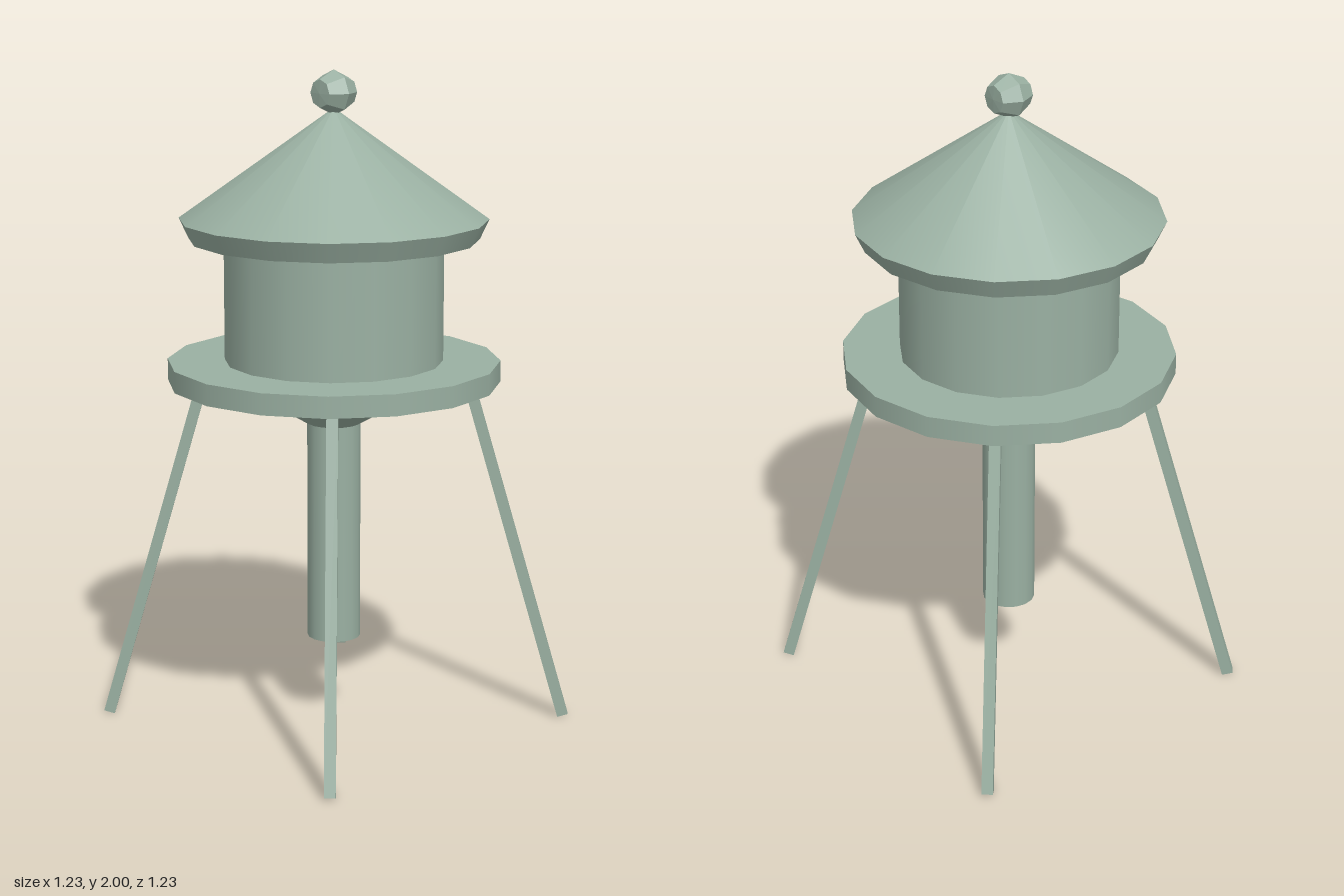
import * as THREE from 'three';

const SIDES = 16;
const material = new THREE.MeshStandardMaterial({ color: 0x9ab0a2, side: THREE.DoubleSide });
const flatMaterial = new THREE.MeshStandardMaterial({ color: 0x9ab0a2, flatShading: true });

export function createModel() {
  const model = new THREE.Group();
  model.name = 'waterTower';

  const body = new THREE.Group();
  body.name = 'body';
  body.position.set(-0.004, 0, -0.004);
  model.add(body);

  // Upright sixteen-sided drum or cone, with a flat side facing each axis
  function drum(name, rTop, rBottom, yBottom, yTop, open = false) {
    const geometry = new THREE.CylinderGeometry(
      rTop, rBottom, yTop - yBottom, SIDES, 1, open, Math.PI / SIDES, Math.PI * 2);
    const mesh = new THREE.Mesh(geometry, material);
    mesh.name = name;
    mesh.position.y = (yBottom + yTop) / 2;
    body.add(mesh);
  }

  drum('roofCone', 0, 0.464, 1.56, 1.89, true);
  drum('roofSkirt', 0.464, 0.436, 1.5, 1.56, true);
  drum('tank', 0.33, 0.33, 1.08, 1.64);
  drum('deck', 0.503, 0.503, 1.065, 1.13);
  drum('tankFunnel', 0.33, 0.08, 0.935, 1.08, true);
  drum('pipe', 0.081, 0.081, 0.26, 0.94, true);

  // Faceted ball on the roof, its axis lying sideways
  const profile = [[0, -0.058], [0.042, -0.055], [0.067, 0], [0.042, 0.055], [0, 0.058]]
    .map(([r, h]) => new THREE.Vector2(r, h));
  const finial = new THREE.Mesh(new THREE.LatheGeometry(profile, 8), flatMaterial);
  finial.name = 'finial';
  finial.position.y = 1.935;
  finial.rotation.set(0, 0.18, Math.PI / 2);
  body.add(finial);

  // Four splayed square legs
  const foot = new THREE.Vector3(0.59, 0.005, 0.387);
  const head = new THREE.Vector3(0.332, 1.08, 0.218);
  const length = foot.distanceTo(head);
  const lean = Math.atan2(Math.hypot(foot.x, foot.z) - Math.hypot(head.x, head.z), head.y - foot.y);
  for (let i = 0; i < 4; i++) {
    const pivot = new THREE.Group();
    pivot.name = 'legMount' + (i + 1);
    pivot.rotation.y = -Math.atan2(foot.z, foot.x) + i * Math.PI / 2;
    const leg = new THREE.Mesh(new THREE.BoxGeometry(0.034, length, 0.034), flatMaterial);
    leg.name = 'leg';
    leg.position.set(
      (Math.hypot(foot.x, foot.z) + Math.hypot(head.x, head.z)) / 2, (foot.y + head.y) / 2, 0);
    leg.rotation.z = lean;
    pivot.add(leg);
    model.add(pivot);
  }
  return model;
}
